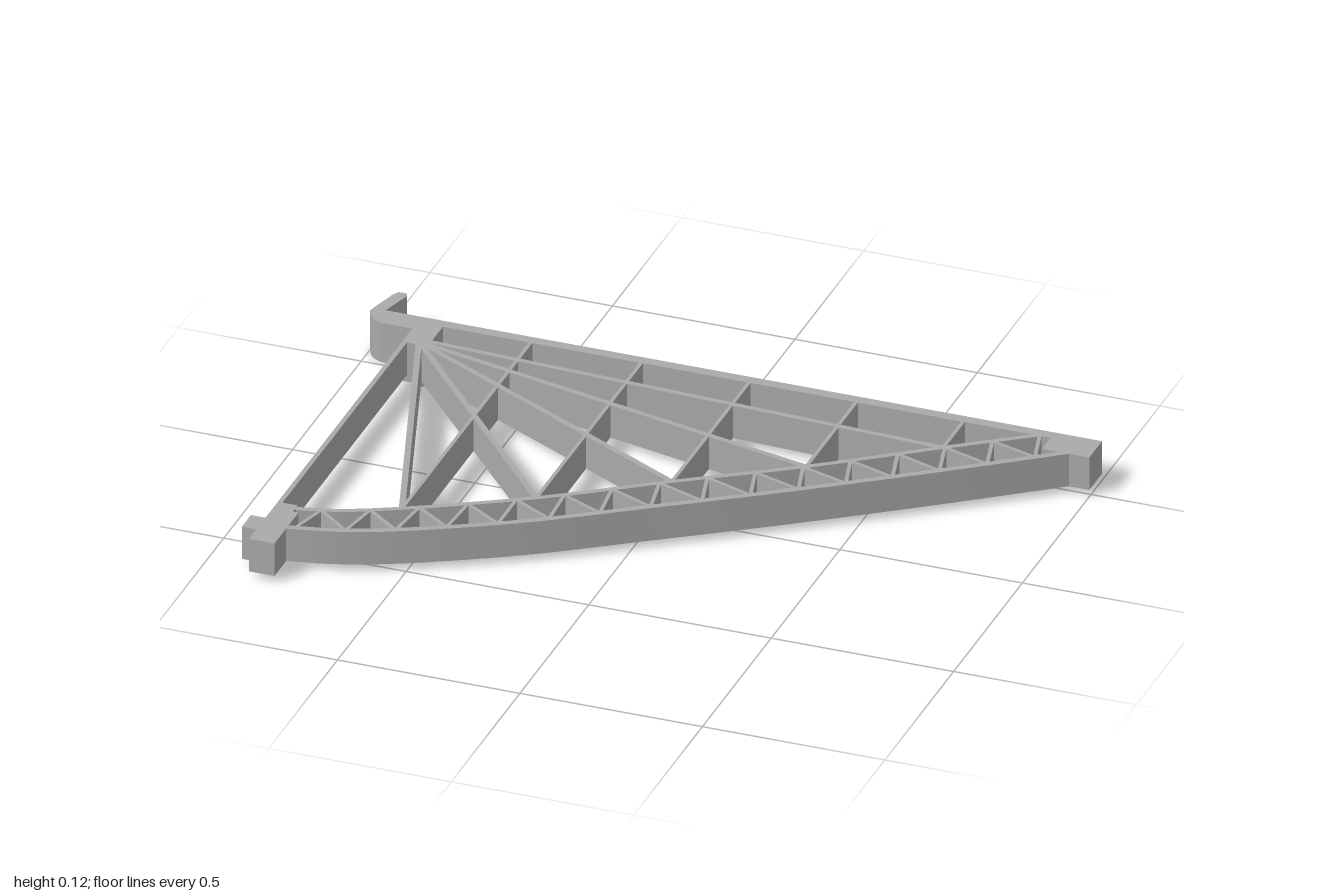
import * as THREE from 'three';
import { toCreasedNormals } from 'three/addons/utils/BufferGeometryUtils.js';

const BASE = 0.02, TOP = 0.115;

export function createModel() {
  const group = new THREE.Group();
  const grey = new THREE.MeshStandardMaterial({ color: 0xaaaaaa });

  // Plan outline given as [x, z] points, raised from y0 to y1
  function slab(name, pts, y0 = BASE, y1 = TOP) {
    const shape = new THREE.Shape(pts.map(([x, z]) => new THREE.Vector2(x, -z)));
    let geo = new THREE.ExtrudeGeometry(shape, { depth: y1 - y0, bevelEnabled: false });
    geo.rotateX(-Math.PI / 2);
    geo.translate(0, y0, 0);
    geo = toCreasedNormals(geo, 0.45);
    const mesh = new THREE.Mesh(geo, grey);
    mesh.name = name;
    group.add(mesh);
  }
  const block = (name, x0, x1, z0, z1, y0, y1) =>
    slab(name, [[x0, z0], [x1, z0], [x1, z1], [x0, z1]], y0, y1);

  // Straight upright rib between two plan points
  function rib(name, [ax, az], [bx, bz], width, y0, y1) {
    const len = Math.hypot(bx - ax, bz - az);
    const nx = -(bz - az) / len * width / 2, nz = (bx - ax) / len * width / 2;
    slab(name, [[ax + nx, az + nz], [bx + nx, bz + nz], [bx - nx, bz - nz], [ax - nx, az - nz]], y0, y1);
  }

  const planCurve = pts => new THREE.CatmullRomCurve3(pts.map(([x, z]) => new THREE.Vector3(x, 0, z)));
  const innerCurve = planCurve([[-0.81, 0.482], [-0.7, 0.452], [-0.555, 0.385], [-0.25, 0.21],
    [0.04, 0.01], [0.34, -0.19], [0.63, -0.405], [0.845, -0.56]]);
  const outerCurve = planCurve([[-0.8, 0.582], [-0.69, 0.558], [-0.555, 0.508], [-0.25, 0.345],
    [0.04, 0.15], [0.34, -0.055], [0.63, -0.263], [0.94, -0.495]]);

  // Curved chords of the lattice
  function chord(name, curve, width) {
    const left = [], right = [], n = 40;
    for (let i = 0; i <= n; i++) {
      const p = curve.getPointAt(i / n), t = curve.getTangentAt(i / n);
      left.push([p.x - t.z * width / 2, p.z + t.x * width / 2]);
      right.unshift([p.x + t.z * width / 2, p.z - t.x * width / 2]);
    }
    slab(name, [...left, ...right]);
  }
  chord('innerChord', innerCurve, 0.016);
  chord('outerChord', outerCurve, 0.018);

  // Point on a curve at a given x
  function atX(curve, x) {
    let lo = 0, hi = 1;
    for (let i = 0; i < 30; i++) {
      const mid = (lo + hi) / 2;
      if (curve.getPoint(mid).x < x) lo = mid; else hi = mid;
    }
    const p = curve.getPoint(lo);
    return [p.x, p.z];
  }

  // Zigzag lattice between the chords
  const bays = 15;
  let previous = null;
  for (let i = 0; i <= bays; i++) {
    const p = innerCurve.getPointAt(0.034 + 0.962 * i / bays);
    const inner = [p.x, p.z];
    const outer = atX(outerCurve, p.x - 0.03 + 0.06 * Math.min(1, i / 8));
    rib('latticeStrut', inner, outer, 0.01);
    if (previous) rib('latticeDiagonal', previous, outer, 0.01);
    previous = inner;
  }

  // Straight back beam and tip block
  block('backBeam', -0.97, 1, -0.58, -0.55);
  block('tipBlock', 0.87, 1, -0.58, -0.487);

  // Hub block with its curled hook
  block('hubBlock', -0.865, -0.795, -0.575, -0.44, 0);
  slab('hook', [[-0.965, -0.682], [-0.943, -0.682], [-0.938, -0.67], [-0.963, -0.58], [-0.8, -0.58],
    [-0.8, -0.513], [-0.95, -0.513], [-0.972, -0.523], [-0.99, -0.543], [-1, -0.565], [-0.995, -0.59],
    [-0.975, -0.665]], 0);
  block('beamFoot', -0.87, -0.73, -0.58, -0.55, 0, BASE);

  // Lower corner block with side tab, and the post joining it to the hub
  slab('cornerBlock', [[-0.865, 0.465], [-0.81, 0.465], [-0.81, 0.5], [-0.795, 0.5], [-0.795, 0.675],
    [-0.865, 0.675], [-0.865, 0.62], [-0.905, 0.62], [-0.905, 0.555], [-0.865, 0.555]]);
  block('sidePost', -0.865, -0.852, -0.45, 0.475);

  // Spokes fanning out from the hub, cross ribs from the beam
  const hub = [-0.825, -0.455];
  for (const x of [-0.555, -0.252, 0.043, 0.337, 0.63]) {
    const end = atX(innerCurve, x);
    rib('crossRib', [x, -0.56], end, 0.01);
    const start = x > 0.5 ? [-0.82, -0.466] : hub;
    rib('spoke', start, end, 0.016);
    // Short foot under each spoke root
    const dx = end[0] - start[0], dz = end[1] - start[1];
    const k = Math.min(0.09 / dx, 0.025 / Math.abs(dz));
    rib('spokeFoot', start, [start[0] + dx * k, start[1] + dz * k], 0.016, 0, BASE);
  }
  return group;
}
